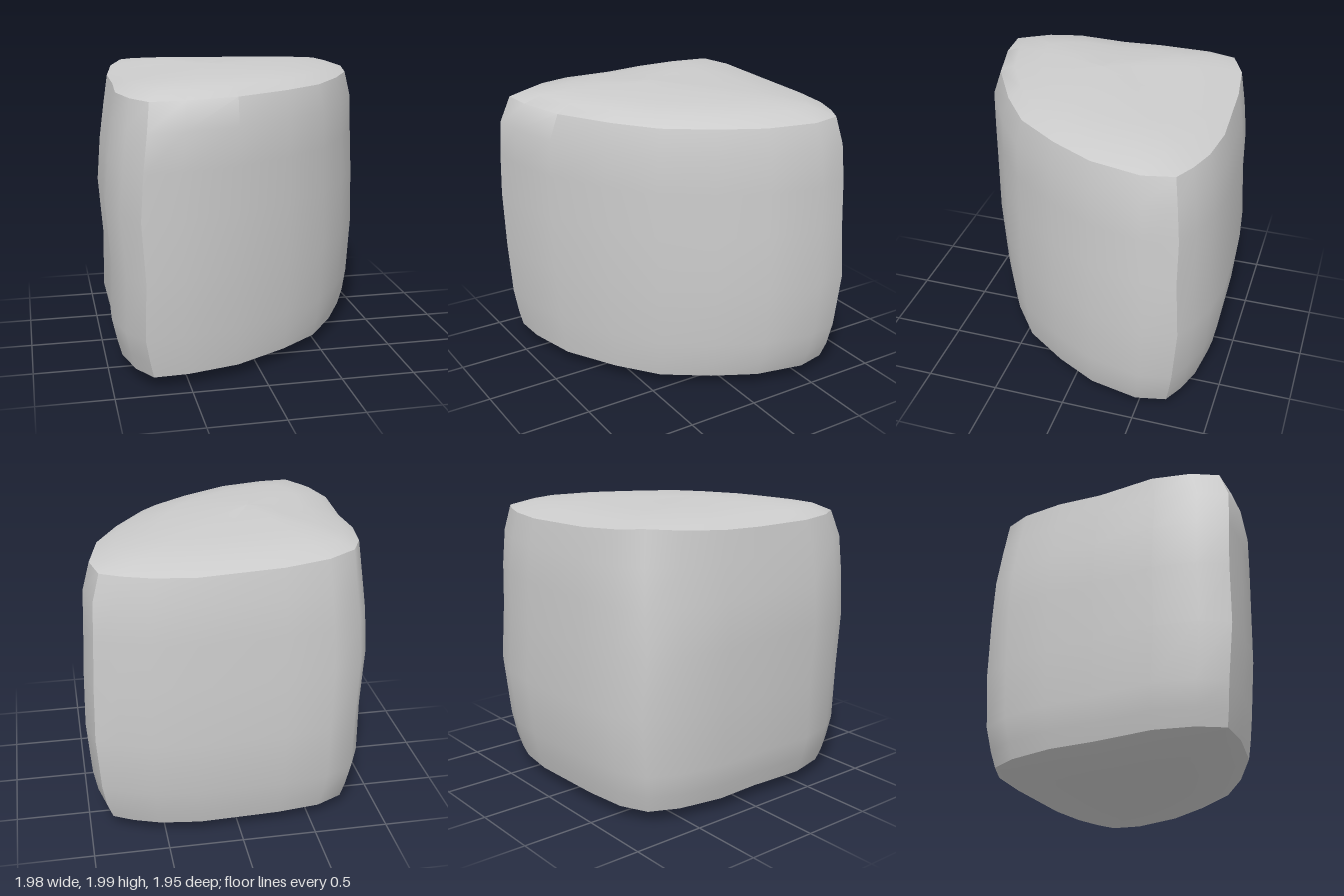
import * as THREE from 'three';
import { toCreasedNormals } from 'three/addons/utils/BufferGeometryUtils.js';

// Plan of the quarter-round stone [x, z], from the back right-hand corner round by the bowed face
const PLAN = [
  [-0.82, -0.82], [-0.62, -0.92], [-0.3, -0.96], [0.3, -0.98], [0.6, -0.94], [0.8, -0.87], [0.95, -0.79],
  [1, -0.56], [0.92, -0.18], [0.75, 0.14], [0.52, 0.46], [0.22, 0.68], [-0.18, 0.9], [-0.56, 0.99],
  [-0.81, 1], [-0.92, 0.82], [-0.99, 0.54], [-0.97, 0.1], [-0.98, -0.25], [-0.92, -0.6],
];

// Side courses: height, then reach towards -x, +x, +z, -z
const COURSES = [
  [0.09, 0.91, 0.89, 0.91, 0.88],
  [0.2, 0.94, 0.93, 0.93, 0.91],
  [0.36, 0.975, 0.96, 0.95, 0.94],
  [0.75, 0.965, 0.99, 0.98, 0.98],
  [1.15, 0.995, 0.98, 0.985, 0.95],
  [1.45, 0.97, 0.965, 0.985, 0.95],
  [1.7, 0.935, 0.955, 0.98, 0.925],
  [1.88, 0.905, 0.905, 0.91, 0.89],
];

// Cap rings: scale about the crown, height
const BOTTOM = [[0.01, 0.005], [0.5, 0.02], [0.83, 0.035]];
const TOP = [[0.86, 1.935], [0.6, 1.968], [0.3, 1.985], [0.01, 1.998]];
const CROWN = [-0.22, 0.08];

const courseRing = ([y, left, right, front, back]) =>
  PLAN.map(([x, z]) => {
    // the back corner on the -x side stands a little higher at the rim
    const lift = y > 1.8 ? 0.06 * Math.max(0, 1 - Math.hypot(x + 0.82, z + 0.82) / 0.8) : 0;
    return [x * (x < 0 ? left : right), y + lift, z * (z < 0 ? back : front)];
  });

const capRing = (rim, [s, y]) =>
  rim.map(([x, rimY, z]) => [
    CROWN[0] + (x - CROWN[0]) * s,
    y + (rimY > 1.88 ? (rimY - 1.88) * s * 0.5 : 0),
    CROWN[1] + (z - CROWN[1]) * s,
  ]);

export function createModel() {
  const sides = COURSES.map(courseRing);
  const rings = [
    ...BOTTOM.map((c) => capRing(sides[0], c)),
    ...sides,
    ...TOP.map((c) => capRing(sides[sides.length - 1], c)),
  ];
  const n = PLAN.length;
  const index = [];
  for (let r = 0; r < rings.length - 1; r++) {
    for (let i = 0; i < n; i++) {
      const a = r * n + i;
      const b = r * n + ((i + 1) % n);
      index.push(a, a + n, b, b, a + n, b + n);
    }
  }
  // close the tiny crown openings
  const last = (rings.length - 1) * n;
  for (let i = 1; i < n - 1; i++) {
    index.push(0, i, i + 1, last, last + i + 1, last + i);
  }

  const geometry = new THREE.BufferGeometry();
  geometry.setAttribute('position', new THREE.Float32BufferAttribute(rings.flat(2), 3));
  geometry.setIndex(index);

  const stone = new THREE.Mesh(
    toCreasedNormals(geometry, 0.75),
    new THREE.MeshStandardMaterial({ color: 0xcccccc })
  );
  stone.name = 'stoneBlock';

  const group = new THREE.Group();
  group.name = 'quarterRoundStone';
  group.add(stone);
  return group;
}
